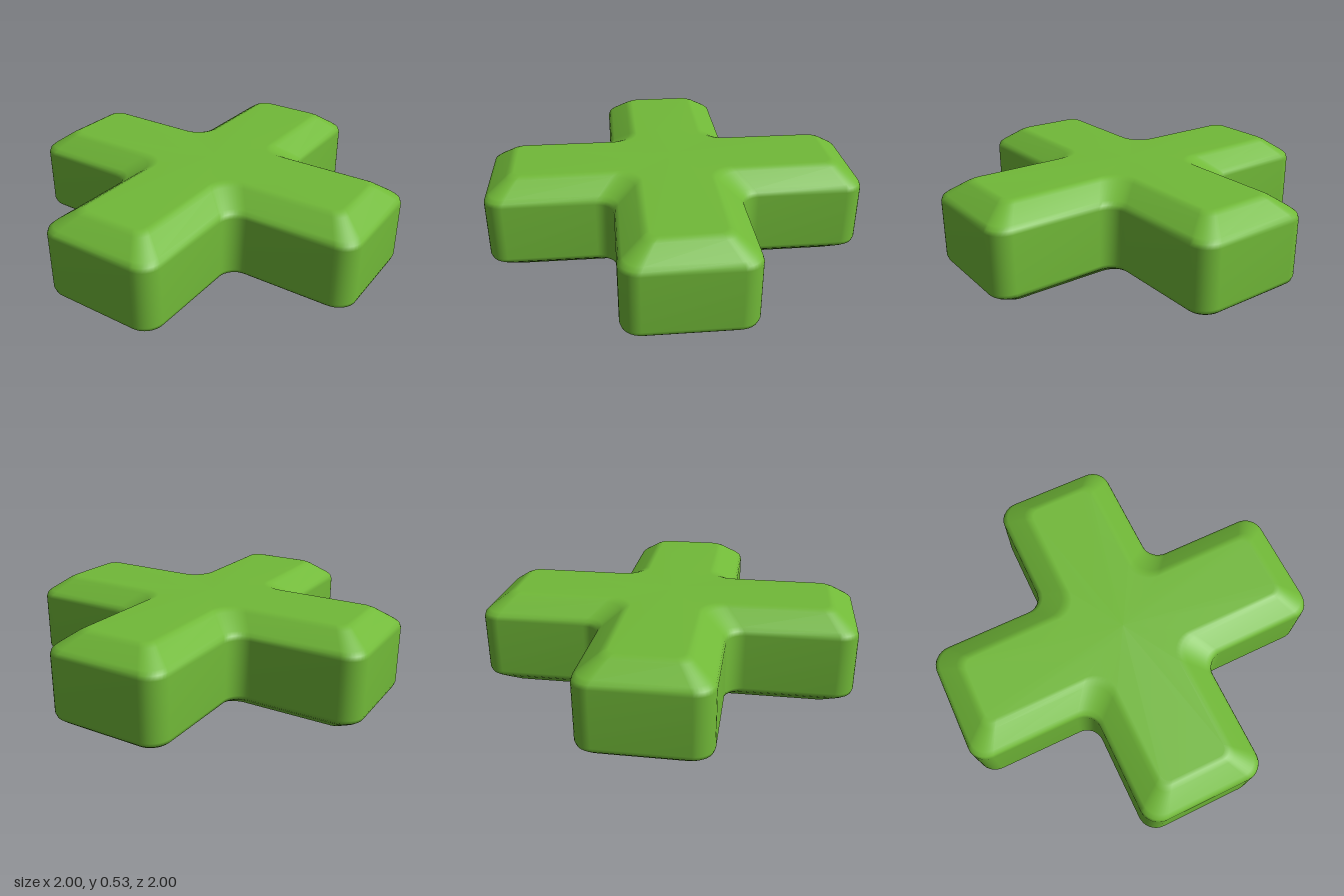
import * as THREE from 'three';

const ARM = 1, HALF_WIDTH = 0.333, STEPS = 8;

// Rounded plus-shaped outline, pulled inwards by the given inset
function outline(inset) {
  const L = ARM - inset, W = HALF_WIDTH - inset;
  const outer = 0.1 - 0.35 * inset, inner = 0.095 + 0.2 * inset;
  const corners = [
    [L - outer, W - outer, outer, 0, Math.PI / 2],
    [W + inner, W + inner, inner, Math.PI * 1.5, Math.PI],
    [W - outer, L - outer, outer, 0, Math.PI / 2],
  ];
  const points = [];
  for (let q = 0; q < 4; q++) {
    for (const [cx, cy, r, from, to] of corners) {
      for (let s = 0; s <= STEPS; s++) {
        const a = from + (to - from) * s / STEPS;
        points.push(new THREE.Vector2(cx + r * Math.cos(a), cy + r * Math.sin(a))
          .rotateAround(new THREE.Vector2(), q * Math.PI / 2));
      }
    }
  }
  return points;
}

// Skin the outlines stacked by [inset, height], with a cap at each end
function softPlus(profile) {
  const positions = [], index = [];
  let n = 0;
  for (const [inset, y] of profile) {
    const ring = outline(inset);
    n = ring.length;
    for (const p of ring) positions.push(p.x, y, -p.y);
  }
  const last = (profile.length - 1) * n;
  const bottom = profile.length * n, top = bottom + 1;
  positions.push(0, profile[0][1], 0, 0, profile[profile.length - 1][1], 0);
  for (let i = 0; i < n; i++) {
    const j = (i + 1) % n;
    for (let k = 0; k < last; k += n) {
      index.push(k + i, k + j, k + n + j, k + i, k + n + j, k + n + i);
    }
    index.push(bottom, j, i, top, last + i, last + j);
  }
  const geometry = new THREE.BufferGeometry();
  geometry.setAttribute('position', new THREE.Float32BufferAttribute(positions, 3));
  geometry.setIndex(index);
  geometry.computeVertexNormals();
  return geometry;
}

export function createModel() {
  const green = new THREE.MeshStandardMaterial({ color: 0x71b938 });
  green.name = 'leaf green';

  // Half of the bevelled edge, mirrored for top and bottom
  const height = 0.533;
  const lower = [[0.155, 0], [0.135, 0.003], [0.112, 0.015], [0.025, 0.077], [0.007, 0.093], [0, 0.115]];
  const upper = lower.map(([inset, y]) => [inset, height - y]).reverse();

  const plus = new THREE.Mesh(softPlus([...lower, ...upper]), green);
  plus.name = 'plusBody';
  const group = new THREE.Group();
  group.name = 'softPlus';
  group.add(plus);
  return group;
}
